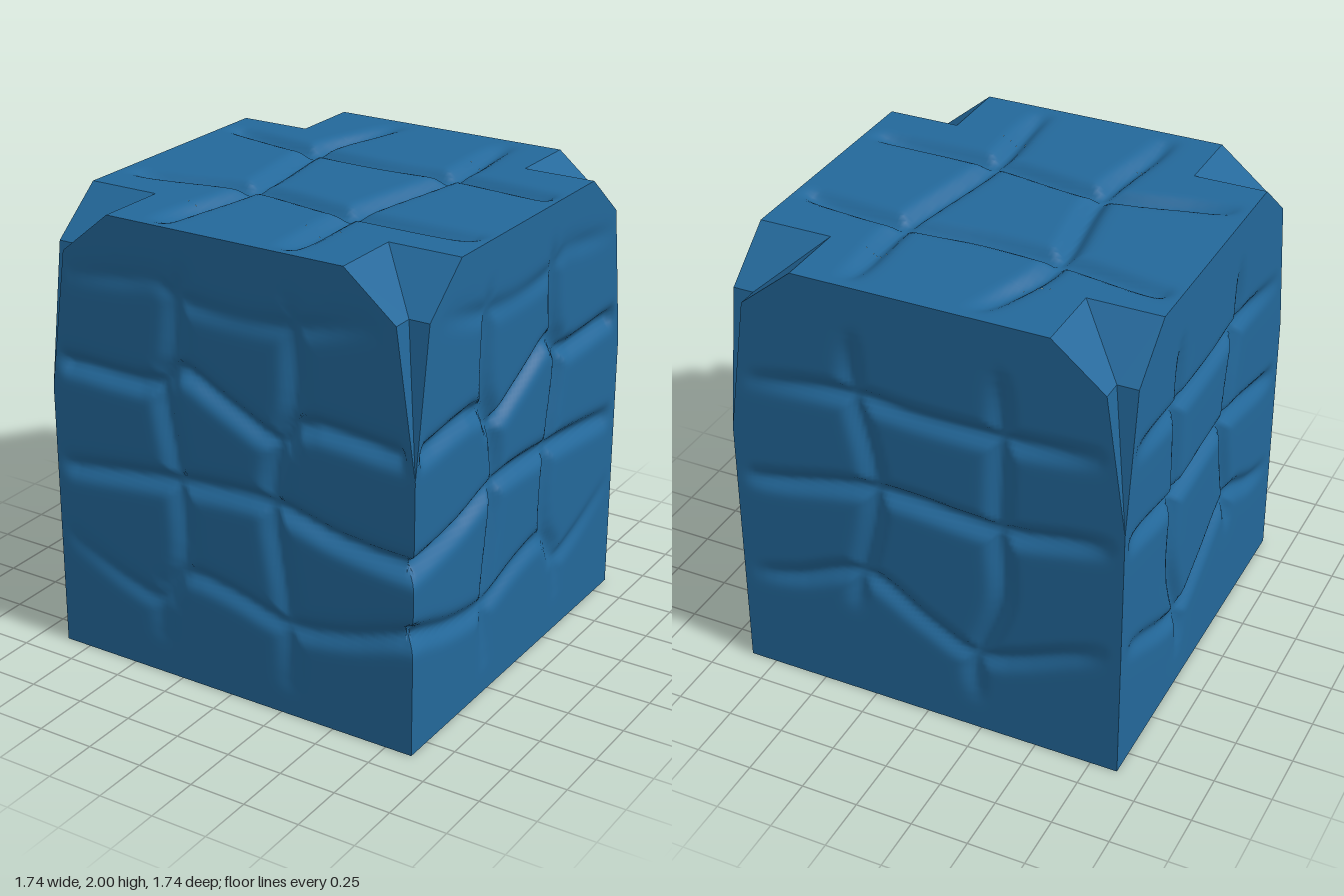
import * as THREE from 'three';

const H = 0.87;                                    // half width of the block
const PROFILE = [[H, 1.2], [0.78, 1.81], [0.55, 2]]; // stepped-in corner outline [half width, y]

// Groove centre lines: [across, up, strength]
const FRONT = [
  [[-0.8, 1.71, 0], [-0.5, 1.75, 0.25], [-0.33, 1.77, 0.2], [-0.2, 1.71, 0.4], [0.1, 1.69, 0.3], [0.33, 1.71, 0.4], [0.7, 1.8, 0]],
  [[-0.84, 1.31, 0.2], [-0.75, 1.32, 0.9], [-0.32, 1.33, 1], [-0.23, 1.41, 1], [0, 1.31, 1], [0.26, 1.21, 1], [0.33, 1.3, 1], [0.75, 1.29, 0.9], [0.82, 1.28, 0]],
  [[-0.84, 0.84, 0.2], [-0.7, 0.86, 0.8], [-0.25, 0.91, 1], [0.2, 0.93, 1], [0.5, 0.86, 1.1], [0.72, 0.83, 1.2], [H, 0.82, 1.4]],
  [[-0.8, 0.51, 0.1], [-0.5, 0.38, 0.4], [-0.35, 0.35, 0.5], [-0.23, 0.5, 0.7], [0, 0.48, 0.7], [0.28, 0.41, 0.7], [0.55, 0.44, 0.8], [0.75, 0.5, 0.9], [H, 0.53, 1.3]],
  [[-0.21, 1.82, 0], [-0.23, 1.7, 0.5], [-0.26, 1.45, 0.8], [-0.31, 1.32, 0.9], [-0.25, 0.93, 0.8], [-0.23, 0.55, 0.7], [-0.34, 0.37, 0.4], [-0.36, 0.15, 0]],
  [[0.33, 1.8, 0], [0.32, 1.65, 0.6], [0.31, 1.35, 0.9], [0.25, 1.2, 0.9], [0.21, 0.95, 0.9], [0.28, 0.45, 0.6], [0.28, 0.1, 0]],
];
const BACK = [
  [[-0.8, 1.53, 0], [-0.6, 1.5, 0.6], [-0.33, 1.48, 0.9], [0, 1.48, 0.8], [0.29, 1.5, 0.9], [0.84, 1.45, 0]],
  [[-0.83, 1.12, 0], [-0.65, 1.09, 0.8], [-0.34, 1.04, 1], [0.22, 1.07, 1], [0.65, 0.99, 0.8], [0.83, 0.97, 0]],
  [[-0.8, 0.6, 0], [-0.65, 0.53, 0.5], [-0.23, 0.38, 0.7], [0, 0.48, 0.7], [0.28, 0.63, 0.8], [0.6, 0.52, 0.6], [0.83, 0.47, 0]],
  [[0.3, 1.8, 0], [0.3, 1.5, 0.8], [0.22, 1.07, 0.9], [0.3, 0.63, 0.7], [0.34, 0.45, 0]],
  [[-0.34, 1.8, 0], [-0.34, 1.5, 0.8], [-0.33, 1.04, 0.9], [-0.34, 0.7, 0.8], [-0.23, 0.38, 0.7], [-0.23, 0.15, 0]],
];
const TOP = [ // [x, z, strength]
  [[-0.84, -0.39, 0], [-0.7, -0.37, 0.8], [-0.34, -0.31, 1], [0, -0.29, 1], [0.33, -0.31, 1], [0.7, -0.28, 0.9], [0.85, -0.25, 0]],
  [[-0.84, 0.35, 0], [-0.65, 0.32, 0.8], [-0.27, 0.25, 1], [0.23, 0.32, 1], [0.65, 0.33, 0.9], [0.85, 0.31, 0]],
  [[-0.2, -0.83, 0], [-0.27, -0.65, 0.7], [-0.34, -0.34, 1], [-0.27, 0.25, 1], [-0.32, 0.65, 0.8], [-0.33, 0.85, 0]],
  [[0.33, -0.83, 0], [0.33, -0.65, 0.7], [0.34, -0.32, 1], [0.25, 0.3, 1], [0.26, 0.65, 0.8], [0.26, 0.85, 0]],
];

// Returns a depth function for a set of groove lines
function grooves(lines) {
  const segments = [];
  for (const line of lines) {
    const pts = new THREE.CatmullRomCurve3(line.map(p => new THREE.Vector3(...p))).getPoints(28);
    for (let i = 1; i < pts.length; i++) segments.push([pts[i - 1], pts[i]]);
  }
  return (x, y) => {
    let depth = 0;
    for (const [a, b] of segments) {
      const dx = b.x - a.x, dy = b.y - a.y;
      const t = THREE.MathUtils.clamp(((x - a.x) * dx + (y - a.y) * dy) / (dx * dx + dy * dy), 0, 1);
      const r2 = (x - a.x - dx * t) ** 2 + (y - a.y - dy * t) ** 2;
      if (r2 > 0.02) continue;
      depth = Math.max(depth, 0.05 * (a.z + (b.z - a.z) * t) * Math.exp(-r2 / 0.0017));
    }
    return depth;
  };
}

// Surface patch: point(u, v) over lists of u and v values
function patch(us, vs, point, flip) {
  const positions = [], index = [], n = us.length;
  for (const v of vs) for (const u of us) positions.push(...point(u, v));
  for (let j = 0; j < vs.length - 1; j++) {
    for (let i = 0; i < n - 1; i++) {
      const a = j * n + i, b = a + 1, c = b + n, d = a + n;
      if (flip) index.push(a, d, b, b, d, c);
      else index.push(a, b, d, b, c, d);
    }
  }
  const geometry = new THREE.BufferGeometry();
  geometry.setAttribute('position', new THREE.Float32BufferAttribute(positions, 3));
  geometry.setIndex(index);
  geometry.computeVertexNormals();
  return geometry;
}

const range = (a, b, n) => Array.from({ length: n + 1 }, (_, i) => a + (b - a) * i / n);

// Half width of a side face at height y
function halfWidth(y) {
  if (y <= 1.2) return H;
  const k = y <= 1.81 ? 0 : 1;
  const [[w0, y0], [w1, y1]] = [PROFILE[k], PROFILE[k + 1]];
  return w0 + (w1 - w0) * (y - y0) / (y1 - y0);
}

export function createModel() {
  const group = new THREE.Group();
  const blue = new THREE.MeshStandardMaterial({ color: 0x23689a });
  blue.name = 'stone blue';
  const add = (name, geometry) => {
    const mesh = new THREE.Mesh(geometry, blue);
    mesh.name = name;
    group.add(mesh);
  };

  // Four grooved sides; adjoining pairs mirror each other across the diagonal
  const us = range(-1, 1, 100);
  const ys = [...range(0, 1.2, 66), ...range(1.2, 1.81, 34).slice(1), ...range(1.81, 2, 6).slice(1)];
  const front = grooves(FRONT), back = grooves(BACK);
  const smooth = THREE.MathUtils.smoothstep;
  const frontPoint = (u, y) => {
    const x = u * halfWidth(y);
    const open = y < 1.1 ? 1 : 0;                  // grooves run over this corner low down
    const fade = smooth(x, -H, -0.78) * (open || 1 - smooth(x, 0.78, H)) * (1 - smooth(Math.abs(u), 0.93, 1) * (1 - open));
    const d = front(x, y) * fade;
    return [x - d * open * smooth(x, 0.8, H), y, H - d];
  };
  const backPoint = (u, y) => {
    const x = u * halfWidth(y);
    return [x, y, -H + back(x, y) * (1 - smooth(Math.abs(u), 0.9, 1))];
  };
  const swap = f => (u, y) => f(u, y).reverse();
  add('frontFace', patch(us, ys, frontPoint, false));
  add('leftFace', patch(us, ys, swap(frontPoint), true));
  add('backFace', patch(us, ys, backPoint, true));
  add('rightFace', patch(us, ys, swap(backPoint), false));

  // Cross-shaped top in three strips
  const top = grooves(TOP);
  const topPoint = (x, z) => [x, 2 - top(x, z) * (1 - smooth(Math.max(Math.abs(x), Math.abs(z)), 0.78, H)), z];
  const inner = range(-0.55, 0.55, 64);
  add('topMiddle', patch(range(-H, H, 100), inner, topPoint, true));
  add('topFront', patch(inner, range(0.55, H, 18), topPoint, true));
  add('topBack', patch(inner, range(-H, -0.55, 18), topPoint, true));

  // Flat base
  add('base', patch([-H, H], [-H, H], (x, z) => [x, 0, z], false));

  // Notched upper corners: two sloped walls per profile step
  for (const sx of [-1, 1]) for (const sz of [-1, 1]) for (let k = 0; k < 2; k++) {
    const wall = (u, v) => {
      const [w, y] = PROFILE[k + v];
      return [w, y, H + (w - H) * u];
    };
    const mirrored = sx * sz < 0;
    const sign = ([x, y, z]) => [x * sx, y, z * sz];
    add('cornerNotch', patch([0, 1], [0, 1], (u, v) => sign(wall(u, v)), mirrored));
    add('cornerNotch', patch([0, 1], [0, 1], (u, v) => sign(wall(u, v).reverse()), !mirrored));
  }
  return group;
}
